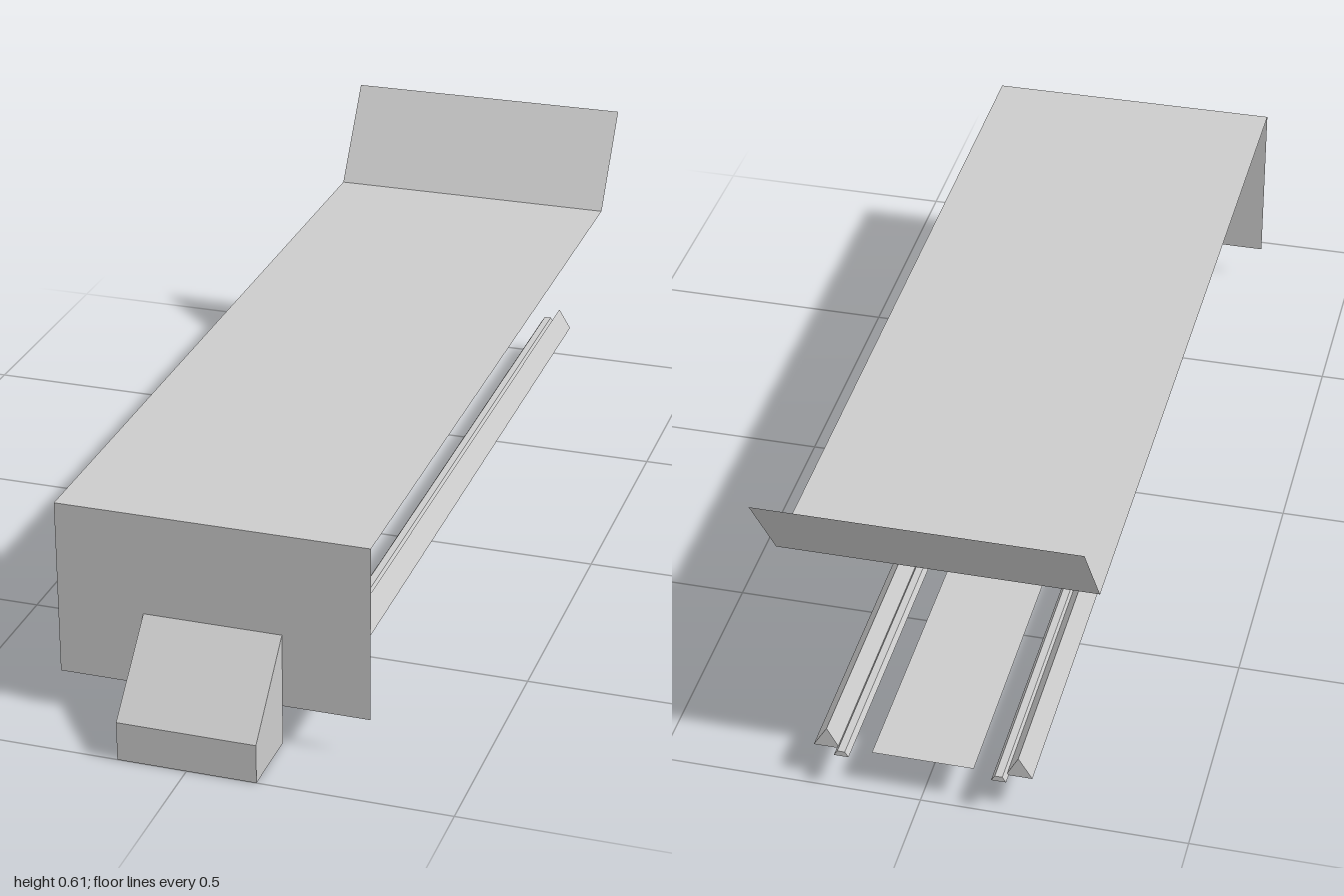
import * as THREE from 'three';

const material = new THREE.MeshStandardMaterial({ color: 0xcccccc, flatShading: true, side: THREE.DoubleSide });

// Flat four-cornered sheets joined into one mesh
function sheets(name, quads) {
  const positions = [];
  for (const [a, b, c, d] of quads) positions.push(...a, ...b, ...c, ...a, ...c, ...d);
  const geometry = new THREE.BufferGeometry();
  geometry.setAttribute('position', new THREE.Float32BufferAttribute(positions, 3));
  geometry.computeVertexNormals();
  const mesh = new THREE.Mesh(geometry, material);
  mesh.name = name;
  return mesh;
}

// Sheet spanning the full width between two (y, z) lines
const span = (w, [y0, z0], [y1, z1]) => [[-w, y0, z0], [w, y0, z0], [w, y1, z1], [-w, y1, z1]];

// Long prism along z from an (x, y) profile
function prism(name, profile, back, front) {
  const shape = new THREE.Shape(profile.map(([x, y]) => new THREE.Vector2(x, y)));
  const geometry = new THREE.ExtrudeGeometry(shape, { depth: front - back, bevelEnabled: false });
  geometry.translate(0, 0, back);
  const mesh = new THREE.Mesh(geometry, material);
  mesh.name = name;
  return mesh;
}

export function createModel() {
  const model = new THREE.Group();
  model.name = 'coveredTrack';
  const deck = 0.077, roof = 0.423, front = 0.853, w = 0.3, bw = 0.133, bh = 0.223;

  // Roof and upturned rear flap
  model.add(sheets('roof', [span(w, [roof, front], [roof, -0.853])]));
  model.add(sheets('rearFlap', [span(w, [roof, -0.853], [0.611, -0.985])]));

  // Front panel with a notch where the nose box opens
  const panel = new THREE.Shape([
    [-w, deck], [-bw, deck], [-bw, bh], [bw, bh], [bw, deck], [w, deck], [w, roof], [-w, roof],
  ].map(([x, y]) => new THREE.Vector2(x, y)));
  const frontPanel = new THREE.Mesh(new THREE.ShapeGeometry(panel), material);
  frontPanel.position.z = front;
  frontPanel.name = 'frontPanel';
  model.add(frontPanel);

  // Nose box with sloping lid, open to the inside above the deck
  const side = (x) => [[x, 0, front], [x, 0, 1], [x, deck, 1], [x, bh, front]];
  model.add(sheets('noseBox', [
    span(bw, [0, front], [0, 1]),
    span(bw, [0, 1], [deck, 1]),
    span(bw, [deck, 1], [bh, front]),
    span(bw, [0, front], [deck, front]),
    side(-bw), side(bw),
  ]));

  // Flat bed between the rails
  model.add(sheets('bed', [span(0.096, [deck, front], [deck, -0.978])]));

  // Triangular side rails, each with a low inner guide
  for (const s of [-1, 1]) {
    const rail = [[0.157 * s, deck], [0.206 * s, deck], [0.18 * s, 0.12]];
    const guide = [[0.134 * s, deck], [0.162 * s, deck], [0.155 * s, 0.088], [0.141 * s, 0.088]];
    const label = s > 0 ? 'left' : 'right';
    model.add(prism(label + 'Rail', rail, -0.98, front));
    model.add(prism(label + 'Guide', guide, -1, front));
  }
  return model;
}
